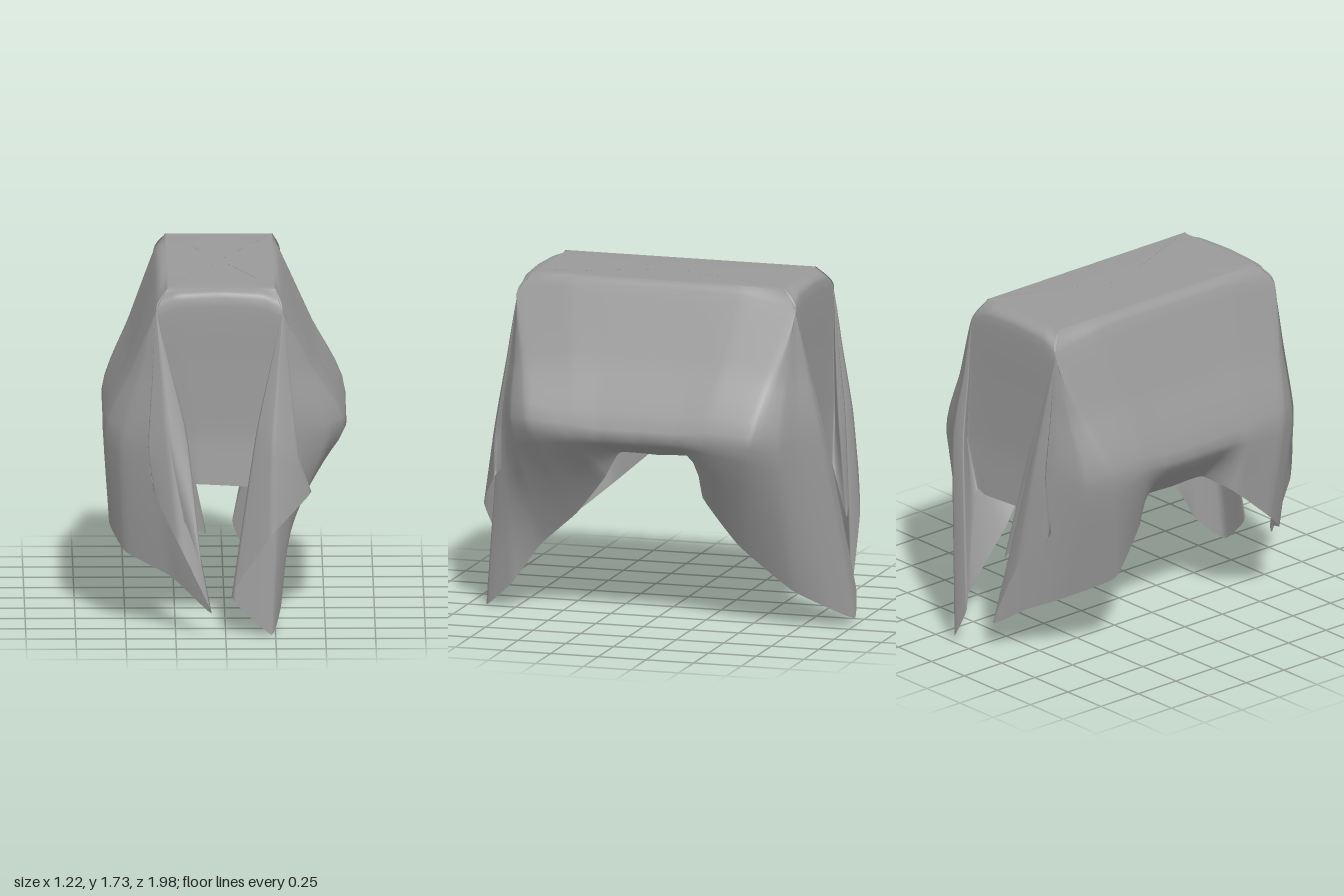
import * as THREE from 'three';

// Corner folds, listed from the side panel round to the end panel.
// Each entry: knee x, y, z then hem x, y, z (mirrored into its quadrant).
const frontLeft = [
  [0.61, 0.99, 0.35, 0.32, 0.72, 0.26], [0.60, 1.0, 0.57, 0.28, 0.52, 0.42],
  [0.52, 0.98, 0.69, 0.25, 0.34, 0.62], [0.36, 1.0, 0.77, 0.28, 0.14, 0.76],
  [0.27, 0.95, 0.83, 0.23, 0.01, 0.91], [0.15, 1.0, 0.81, 0.03, 0.20, 0.87],
  [0.24, 0.95, 0.86, 0.24, 0.53, 0.92], [0.37, 0.9, 0.82, 0.43, 0.72, 0.80],
  [0.26, 1.0, 0.79, 0.22, 0.72, 0.81], [0.27, 1.0, 0.74, 0.20, 0.74, 0.76],
];
const frontRight = [
  [0.61, 1.0, 0.35, 0.57, 0.69, 0.27], [0.60, 1.0, 0.57, 0.58, 0.50, 0.49],
  [0.52, 0.95, 0.70, 0.50, 0.38, 0.63], [0.38, 0.97, 0.77, 0.27, 0.28, 0.77],
  [0.24, 1.0, 0.83, 0.07, 0.13, 0.96], [0.29, 1.0, 0.86, 0.23, 0.47, 0.94],
  [0.39, 0.95, 0.82, 0.36, 0.73, 0.84], [0.28, 1.0, 0.86, 0.20, 0.58, 0.92],
  [0.19, 1.0, 0.83, 0.12, 0.37, 0.99], [0.28, 1.0, 0.74, 0.20, 0.75, 0.76],
];
const backLeft = [
  [0.61, 0.99, 0.35, 0.37, 0.66, 0.27], [0.60, 0.97, 0.57, 0.34, 0.42, 0.45],
  [0.50, 0.95, 0.71, 0.29, 0.20, 0.71], [0.38, 1.0, 0.78, 0.22, 0.11, 0.87],
  [0.28, 1.0, 0.86, 0.12, 0.04, 0.99], [0.20, 1.0, 0.86, 0.05, 0.20, 0.97],
  [0.24, 1.0, 0.80, 0.14, 0.55, 0.86], [0.30, 1.0, 0.75, 0.20, 0.75, 0.77],
];
const backRight = [
  [0.61, 1.0, 0.35, 0.48, 0.64, 0.28], [0.60, 0.98, 0.56, 0.51, 0.41, 0.47],
  [0.52, 0.95, 0.69, 0.36, 0.31, 0.70], [0.38, 1.0, 0.77, 0.22, 0.24, 0.82],
  [0.25, 1.0, 0.82, 0.08, 0.15, 0.91], [0.30, 1.0, 0.84, 0.25, 0.50, 0.90],
  [0.38, 1.0, 0.82, 0.43, 0.72, 0.83], [0.26, 1.0, 0.82, 0.20, 0.60, 0.86],
  [0.20, 1.0, 0.80, 0.12, 0.50, 0.87], [0.30, 1.0, 0.75, 0.20, 0.75, 0.77],
];

const vec = (x, y, z) => new THREE.Vector3(x, y, z);
const smooth = (points, closed, tension) =>
  new THREE.CatmullRomCurve3(points, closed, 'catmullrom', tension);

// One strip of cloth: top edge, shoulder (lower at corners), upper wall, knee, hem
function strip(tx, tz, knee, hem) {
  const drop = 0.06 * (tx * tz) ** 4;
  const top = vec(tx * 0.265 - 0.02, 1.735, tz * 0.65);
  const shoulder = vec(tx * 0.315 - 0.03, 1.695 - drop, tz * 0.725);
  const upper = shoulder.clone().lerp(knee, 0.5);
  return smooth([top, shoulder, upper, knee, hem], false, 0.3);
}

// Folds of one corner; strips on the side panel start along its top edge
function corner(table, sx, sz) {
  return table.map(([mx, my, mz, hx, hy, hz]) =>
    strip(sx, sz * (mx > 0.58 ? Math.min(1, mz * 1.8) : 1),
      vec(sx * mx, my, sz * mz), vec(sx * hx, hy, sz * hz)));
}

// Long side panel, tucked inward below the knee
const side = (sx, hemX, hemY) => [-0.2, 0, 0.2].map((z) =>
  strip(sx, z * 1.8, vec(sx * 0.61, 0.98, z), vec(sx * hemX, hemY, z)));

// Flat end panel between two corners
const end = (sz) => [0.14, 0, -0.14].map((x) =>
  strip(x / 0.2, sz, vec(x, 1.0, sz * 0.745), vec(x, 0.745 - x * 0.05, sz * 0.77)));

function clothGeometry() {
  // Strips in order round the cloth
  const strips = [
    ...side(1, 0.26, 0.84),
    ...corner(frontLeft, 1, 1), ...end(1), ...corner(frontRight, -1, 1).reverse(),
    ...side(-1, 0.4, 0.74).reverse(),
    ...corner(backRight, -1, -1), ...end(-1).reverse(), ...corner(backLeft, 1, -1).reverse(),
  ];
  const rows = 20, cols = strips.length * 5;
  const positions = [], index = [];
  for (let r = 0; r <= rows; r++) {
    const ring = smooth(strips.map((s) => s.getPoint(r / rows)), true, 0.2);
    for (let c = 0; c < cols; c++) positions.push(...ring.getPoint(c / cols).toArray());
  }
  for (let r = 0; r < rows; r++) {
    for (let c = 0; c < cols; c++) {
      const a = r * cols + c, b = r * cols + (c + 1) % cols;
      index.push(a, b, a + cols, b, b + cols, a + cols);
    }
  }
  // Flat top closes the first ring
  const centre = positions.length / 3;
  positions.push(-0.02, 1.735, 0);
  for (let c = 0; c < cols; c++) index.push(centre, (c + 1) % cols, c);

  const geometry = new THREE.BufferGeometry();
  geometry.setAttribute('position', new THREE.Float32BufferAttribute(positions, 3));
  geometry.setIndex(index);
  geometry.computeVertexNormals();
  return geometry;
}

export function createModel() {
  const group = new THREE.Group();
  group.name = 'drapedCover';
  const fabric = new THREE.MeshStandardMaterial({ color: 0x999999, side: THREE.DoubleSide });
  fabric.name = 'greyFabric';
  const cloth = new THREE.Mesh(clothGeometry(), fabric);
  cloth.name = 'drapedCloth';
  group.add(cloth);
  return group;
}
